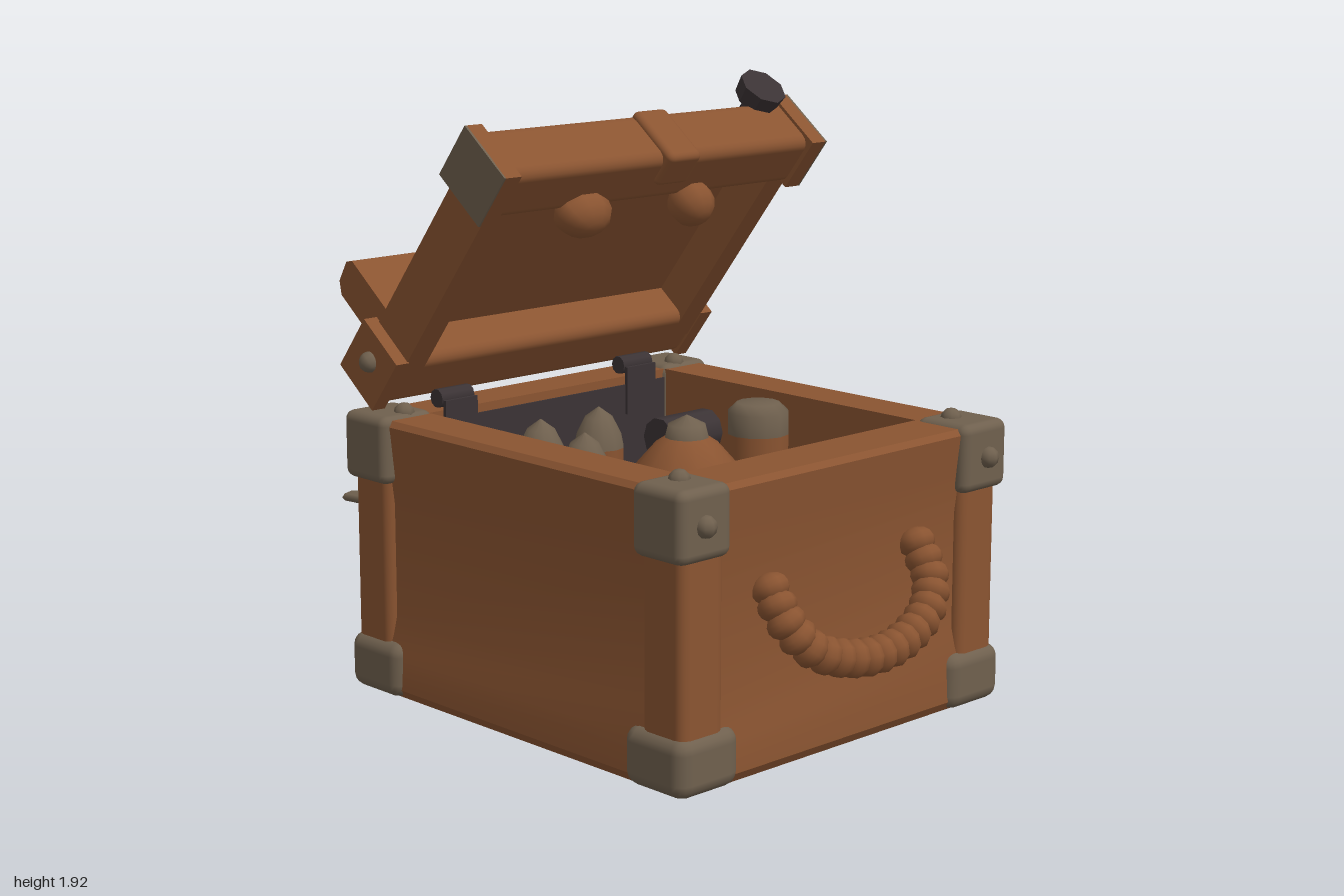
import * as THREE from 'three';
import { toCreasedNormals } from 'three/addons/utils/BufferGeometryUtils.js';
import { RoundedBoxGeometry } from 'three/addons/geometries/RoundedBoxGeometry.js';

function material(name, color) {
  const m = new THREE.MeshStandardMaterial({ color });
  m.name = name;
  return m;
}

export function createModel() {
  const leather = material('brown leather', 0x8a5431);
  const metal = material('dull metal', 0x6f604e);
  const iron = material('dark iron', 0x3b3335);
  const model = new THREE.Group();
  model.name = 'openChest';

  const add = (parent, name, geo, mat, x = 0, y = 0, z = 0) => {
    const mesh = new THREE.Mesh(geo, mat);
    mesh.name = name;
    mesh.position.set(x, y, z);
    parent.add(mesh);
    return mesh;
  };
  // Box given by its limits, with optional rounded edges
  const block = (parent, name, mat, [x0, x1], [y0, y1], [z0, z1], r = 0) => {
    const s = [x1 - x0, y1 - y0, z1 - z0];
    const geo = r ? new RoundedBoxGeometry(...s, 2, r) : new THREE.BoxGeometry(...s);
    return add(parent, name, geo, mat, (x0 + x1) / 2, (y0 + y1) / 2, (z0 + z1) / 2);
  };
  const span = (c, h) => [c - h, c + h];
  const rivet = (parent, x, y, z) =>
    add(parent, 'rivet', new THREE.SphereGeometry(0.034, 8, 6), metal, x, y, z);

  // ---- Chest body: four walls with gently hollowed outer faces
  const wall = (name, length, thick, angle, x, z) => {
    const profile = new THREE.Shape([
      [-thick, 0], [-0.02, 0], [0, 0.03], [-0.004, 0.14], [-0.028, 0.26],
      [-0.028, 0.62], [-0.012, 0.76], [0, 0.87], [-0.015, 0.888], [-thick, 0.888],
    ].map(p => new THREE.Vector2(...p)));
    const geo = new THREE.ExtrudeGeometry(profile, { depth: length, bevelEnabled: false });
    geo.translate(0, 0, -length / 2);
    add(model, name, toCreasedNormals(geo, 0.6), leather, x, 0, z).rotation.y = angle;
  };
  wall('leftWall', 1.36, 0.17, 0, 0.68, 0.07);
  wall('rightWall', 1.36, 0.17, Math.PI, -0.68, 0.07);
  wall('frontWall', 1.24, 0.19, -Math.PI / 2, 0, 0.81);
  wall('backWall', 1.24, 0.17, Math.PI / 2, 0, -0.67);
  block(model, 'bottom', leather, [-0.6, 0.6], [0.005, 0.1], [-0.6, 0.7]);
  block(model, 'innerFloor', iron, [-0.52, 0.52], [0.3, 0.35], [-0.51, 0.63]);
  block(model, 'backLining', iron, [-0.51, 0.51], [0.35, 0.86], [-0.502, -0.494]);

  // ---- Corner posts, metal corners and rivets
  for (const s of [-1, 1]) {
    for (const front of [false, true]) {
      const dir = front ? 1 : -1;
      const edge = front ? 0.81 : -0.67;
      const centre = edge - dir * 0.085;
      block(model, 'cornerPost', leather, span(s * 0.595, 0.085), [0.01, 0.885], span(centre, 0.085), 0.03);
      const z = edge + dir * 0.02;
      block(model, 'topCorner', metal, span(s * 0.602, 0.103), [0.685, 0.9], span(z - dir * 0.103, 0.103), 0.03);
      block(model, 'bottomCorner', metal, span(s * 0.58, 0.122), [0, 0.18], span(z - dir * 0.125, 0.125), 0.045);
      rivet(model, s * 0.61, 0.79, z);
      rivet(model, s * 0.585, 0.895, front ? 0.7 : -0.53);
    }

    // Hinges on the back rim
    const hinge = add(model, 'hinge', new THREE.CylinderGeometry(0.03, 0.03, 0.13, 10), iron, s * 0.39, 0.922, -0.53);
    hinge.rotation.z = Math.PI / 2;
    block(model, 'hingeLeaf', iron, span(s * 0.39, 0.065), [0.76, 0.92], [-0.496, -0.484]);

    // Curved metal hooks on the back
    const hookPath = new THREE.CatmullRomCurve3([
      [0.69, -0.65], [0.63, -0.69], [0.56, -0.76], [0.53, -0.87], [0.52, -1],
    ].map(([y, z]) => new THREE.Vector3(0, y, z)));
    const hookGeo = new THREE.TubeGeometry(hookPath, 14, 0.017, 8);
    hookGeo.scale(2.4, 1, 1);
    add(model, 'backHook', hookGeo, metal, s * 0.44, 0, 0).material.side = THREE.DoubleSide;
  }

  // ---- Beaded carrying handle on the front
  const handle = new THREE.Group();
  handle.name = 'handle';
  model.add(handle);
  const handlePath = new THREE.CatmullRomCurve3([
    [-0.32, 0.55, 0.8], [-0.315, 0.46, 0.86], [-0.25, 0.375, 0.905], [-0.13, 0.33, 0.93],
    [0, 0.318, 0.938], [0.13, 0.34, 0.93], [0.25, 0.4, 0.905], [0.31, 0.48, 0.86], [0.315, 0.57, 0.8],
  ].map(p => new THREE.Vector3(...p)));
  const beads = 18;
  const up = new THREE.Vector3(0, 1, 0);
  for (let i = 0; i <= beads; i++) {
    const p = handlePath.getPointAt(i / beads);
    const bead = add(handle, 'handleBead', new THREE.SphereGeometry(0.06, 10, 8), leather, p.x, p.y, p.z);
    bead.scale.y = 0.75;
    bead.quaternion.setFromUnitVectors(up, handlePath.getTangentAt(i / beads));
  }

  // ---- Contents: capped bottles, a bell-shaped flask, a ball and a cup
  const lathe = pts => new THREE.LatheGeometry(pts.map(p => new THREE.Vector2(...p)), 12);
  const bottle = (x, z, r, top) => {
    const neck = top - r * 1.6;
    add(model, 'bottle', lathe([[r, 0.35], [r, neck]]), leather, x, 0, z);
    add(model, 'bottleCap', lathe([
      [r, neck], [r * 0.9, neck + r * 0.5], [r * 0.55, neck + r * 1.2], [0.001, top],
    ]), metal, x, 0, z);
  };
  [
    [-0.38, 0.08, 0.08, 0.9], [-0.37, 0.41, 0.08, 0.8], [-0.15, 0.34, 0.07, 0.74],
    [0.2, 0.26, 0.05, 0.74], [0.36, 0.33, 0.06, 0.72], [-0.38, -0.12, 0.08, 0.91], [-0.13, -0.13, 0.08, 0.91],
  ].forEach(b => bottle(...b));
  add(model, 'flask', lathe([
    [0.14, 0.35], [0.2, 0.48], [0.21, 0.6], [0.17, 0.72], [0.1, 0.8], [0.07, 0.82],
  ]), leather, 0.05, 0, 0.08);
  add(model, 'flaskCap', lathe([[0.07, 0.82], [0.06, 0.86], [0.001, 0.89]]), metal, 0.05, 0, 0.08);
  add(model, 'ball', new THREE.SphereGeometry(0.09, 10, 8), leather, 0.14, 0.44, 0.47);
  add(model, 'cupBody', lathe([[0.08, 0.35], [0.1, 0.55], [0.1, 0.78]]), leather, 0.38, 0, 0.07);
  add(model, 'cupRim', lathe([[0.1, 0.78], [0.1, 0.85], [0.07, 0.88], [0.001, 0.88]]), metal, 0.38, 0, 0.07);
  add(model, 'barrel', new THREE.CylinderGeometry(0.07, 0.07, 0.22, 10), iron, 0.25, 0.76, -0.14).rotation.z = 1.57;

  // ---- Lid, tilted back: local z runs away from the hinge, y is the outside
  const lid = new THREE.Group();
  lid.name = 'lid';
  lid.position.set(0, 0.91, -0.57);
  lid.rotation.x = -0.905;
  model.add(lid);
  block(lid, 'lidPanel', leather, [-0.63, 0.63], [0.14, 0.18], [0.1, 0.9]);
  block(lid, 'lidFrontBeam', leather, [-0.66, 0.66], [-0.01, 0.195], [0.82, 1.005], 0.035);
  block(lid, 'lidHingeBeam', leather, [-0.65, 0.65], [0.005, 0.195], [0.005, 0.2], 0.035);
  for (const s of [-1, 1]) {
    block(lid, 'lidSide', leather, span(s * 0.592, 0.042), [0.005, 0.18], [0.1, 0.9]);
    block(lid, 'lidFrontCorner', leather, span(s * 0.645, 0.03), [-0.025, 0.2], [0.82, 1.015]);
    block(lid, 'lidCornerPlate', metal, span(s * 0.677, 0.004), [-0.025, 0.2], [0.82, 1.015]);
    block(lid, 'lidHingeCorner', leather, span(s * 0.655, 0.025), [0, 0.2], [0, 0.205]);
    rivet(lid, s * 0.68, 0.1, 0.115);
    // Tabs folded down from the rear ledge
    block(lid, 'rearTab', leather, span(s * 0.385, 0.075), [0.385, 0.485], [-0.05, 0.15], 0.02);
  }

  // Rear ledge with a chamfered outer edge
  const ledge = new THREE.Shape([
    [0.16, 0.06], [0.43, 0.06], [0.465, 0.09], [0.475, 0.165], [0.455, 0.187], [0.16, 0.187],
  ].map(([y, z]) => new THREE.Vector2(-z, y)));
  const ledgeGeo = new THREE.ExtrudeGeometry(ledge, { depth: 1.12, bevelEnabled: false });
  ledgeGeo.translate(0, 0, -0.56);
  add(lid, 'rearLedge', toCreasedNormals(ledgeGeo, 0.6), leather).rotation.y = Math.PI / 2;

  // Clasp and the two rounded lugs under the front beam
  block(lid, 'clasp', leather, span(0.05, 0.068), [-0.03, 0.19], [0.9, 1.025], 0.02);
  add(lid, 'wideLug', new THREE.SphereGeometry(0.075, 10, 8), leather, -0.27, -0.025, 0.82).scale.x = 1.35;
  add(lid, 'narrowLug', new THREE.SphereGeometry(0.075, 10, 8), leather, 0.19, -0.03, 0.81);

  // Bolt standing past the front edge
  const bolt = (name, r, length, z) => {
    const geo = toCreasedNormals(new THREE.CylinderGeometry(r, r * 0.9, length, 8), 0.3);
    add(lid, name, geo, iron, 0.55, 0.208, z).rotation.x = Math.PI / 2;
  };
  bolt('boltStem', 0.035, 0.18, 0.95);
  bolt('boltHead', 0.08, 0.06, 1.025);

  return model;
}
